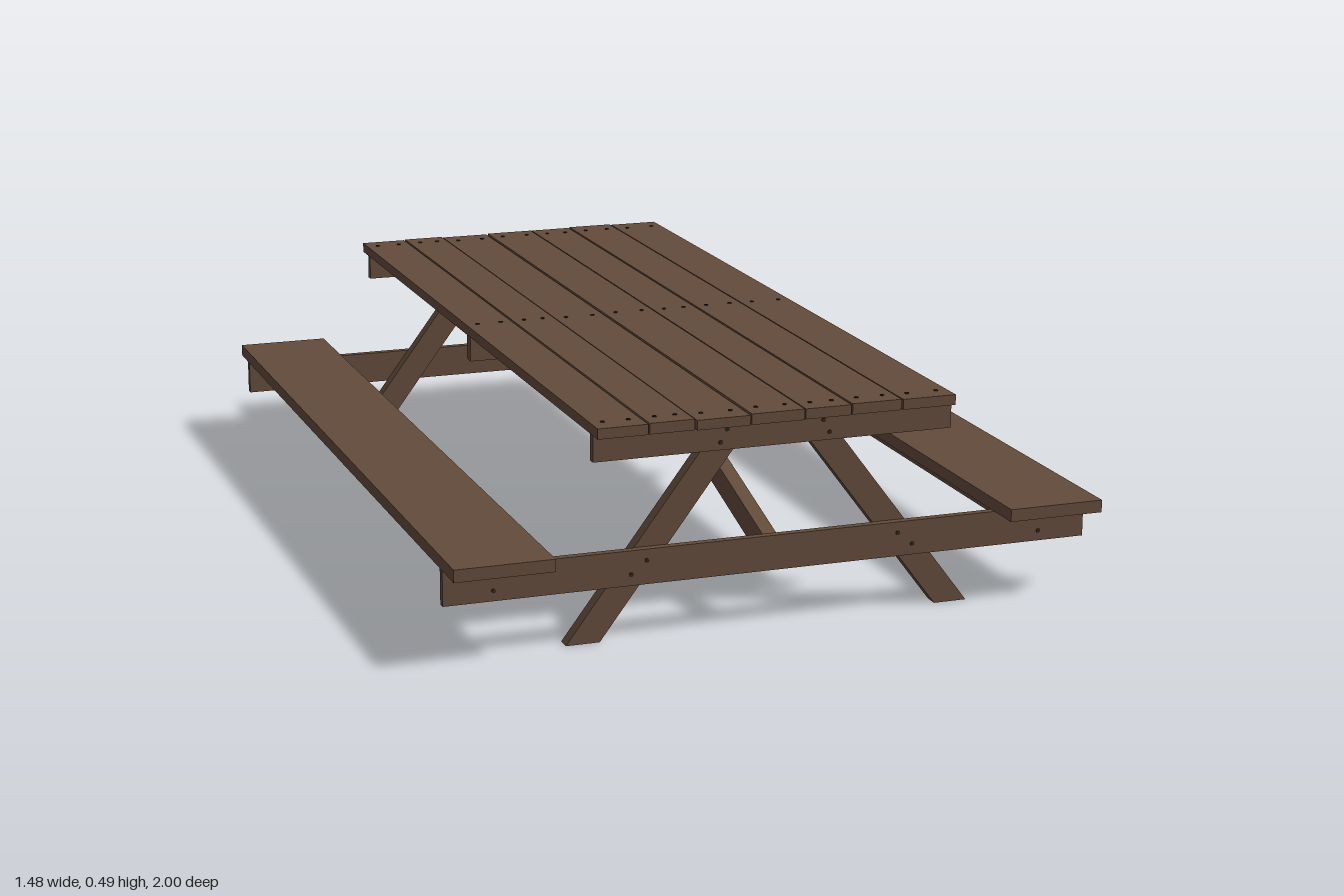
import * as THREE from 'three';

export function createModel() {
  const wood = new THREE.MeshStandardMaterial({ color: 0x634b3b });
  wood.name = 'brown wood';
  const iron = new THREE.MeshStandardMaterial({ color: 0x2e241d });
  iron.name = 'dark iron';

  const table = new THREE.Group();
  table.name = 'picnicTable';

  const add = (name, geometry, material = wood) => {
    const mesh = new THREE.Mesh(geometry, material);
    mesh.name = name;
    table.add(mesh);
    return mesh;
  };

  // Box given by its limits on each axis
  const board = (name, x0, x1, y0, y1, z0, z1) =>
    add(name, new THREE.BoxGeometry(x1 - x0, y1 - y0, z1 - z0))
      .position.set((x0 + x1) / 2, (y0 + y1) / 2, (z0 + z1) / 2);

  // Flat outline extruded by a depth, centred on z = 0
  const slab = (points, depth) => {
    const shape = new THREE.Shape(points.map(([x, y]) => new THREE.Vector2(x, y)));
    return new THREE.ExtrudeGeometry(shape, { depth, bevelEnabled: false })
      .translate(0, 0, -depth / 2);
  };

  // Screw heads: upright on the top, or lying along z in the frame
  const screwGeometry = new THREE.CylinderGeometry(0.005, 0.005, 0.004, 8);
  const boltGeometry = new THREE.CylinderGeometry(0.005, 0.005, 1, 8).rotateX(Math.PI / 2);
  const bolt = (x, y, z0, z1) => {
    const mesh = add('bolt', boltGeometry, iron);
    mesh.position.set(x, y, (z0 + z1) / 2);
    mesh.scale.z = Math.abs(z1 - z0);
  };

  // Table top planks, with slightly uneven ends and heights
  const edges = [-0.415, -0.3, -0.196, -0.072, 0.052, 0.16, 0.278, 0.405];
  const frontEnds = [0.955, 0.953, 0.957, 0.955, 0.952, 0.95, 0.95];
  const backEnds = [-0.97, -0.972, -0.973, -0.971, -0.975, -0.978, -0.975];
  const tops = [0.489, 0.49, 0.488, 0.49, 0.489, 0.49, 0.489];
  for (let i = 0; i < 7; i++) {
    const x0 = edges[i] + 0.002, x1 = edges[i + 1] - 0.002;
    board('topPlank', x0, x1, 0.466, tops[i], backEnds[i], frontEnds[i]);
    for (const z of [-0.921, -0.005, 0.906]) {
      for (const x of [x0 + 0.027, x1 - 0.027]) {
        add('screwHead', screwGeometry, iron).position.set(x, tops[i], z);
      }
    }
  }

  // Cleat under the middle of the top
  board('middleCleat', -0.41, 0.41, 0.405, 0.466, -0.014, 0.014);

  // End frames: inner is the shared face between legs and outer boards
  for (const [inner, dir] of [[0.896, 1], [-0.913, -1]]) {
    const outer = inner + dir * 0.018;
    const z0 = Math.min(inner, outer), z1 = Math.max(inner, outer);
    board('endCleat', -0.41, 0.41, 0.405, 0.466, z0, z1);
    board('crossBeam', -0.74, 0.74, 0.125, 0.203, z0, z1);

    for (const s of [-1, 1]) {
      // Splayed leg
      const leg = slab([[0.39 * s, 0], [0.466 * s, 0], [0.115 * s, 0.466], [0.039 * s, 0.466]], 0.032);
      add('leg', leg).position.z = inner - dir * 0.016;

      for (const [x, y] of [[0.11, 0.45], [0.125, 0.422]]) {
        bolt(x * s, y, inner - dir * 0.038, outer + dir * 0.002);
      }
      for (const [x, y] of [[0.29, 0.178], [0.325, 0.15], [0.63, 0.18], [0.63, 0.148]]) {
        bolt(x * s, y, inner, outer + dir * 0.002);
      }
    }

    // Sloping brace from the cross beam up to the middle cleat
    const end = Math.abs(inner);
    const brace = slab([[0.014, 0.403], [end, 0.138], [end, 0.199], [0.014, 0.464]], 0.032);
    const braceMesh = add('diagonalBrace', brace);
    braceMesh.rotation.y = -dir * Math.PI / 2;
    braceMesh.position.x = -0.002;
  }

  // Benches, each with a rail below its middle
  for (const s of [-1, 1]) {
    const seat = [0.52 * s, 0.74 * s].sort((a, b) => a - b);
    board('benchSeat', ...seat, 0.204, 0.232, -1, 1);
    board('benchRail', 0.63 * s - 0.014, 0.63 * s + 0.014, 0.13, 0.204, -0.913, 0.896);
  }

  return table;
}
